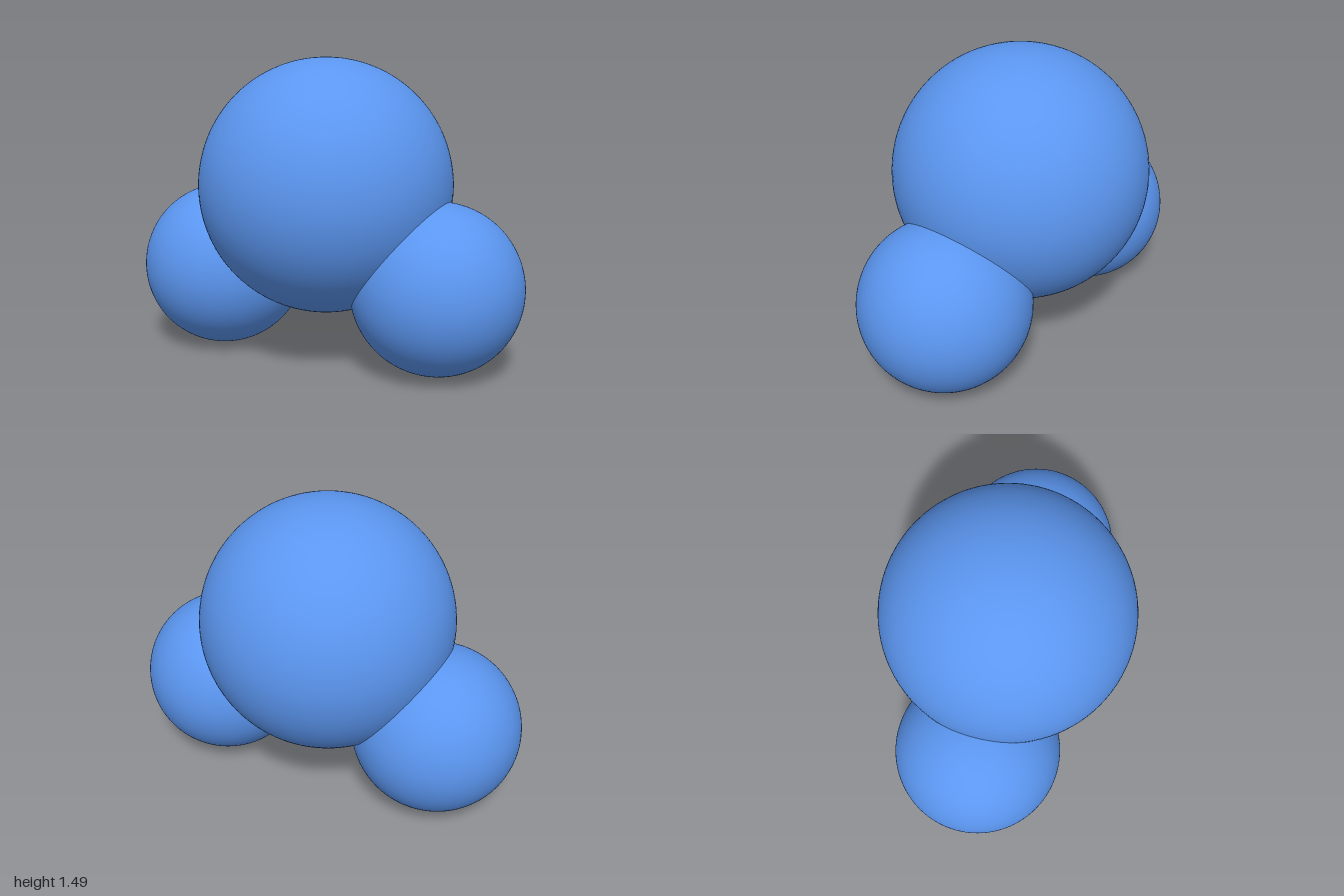
import * as THREE from 'three';

export function createModel() {
  const model = new THREE.Group();
  model.name = 'molecule';
  const material = new THREE.MeshStandardMaterial({ color: 0x5b96f0 });

  const addAtom = (name, radius, x, y) => {
    const atom = new THREE.Mesh(new THREE.SphereGeometry(radius, 96, 64), material);
    atom.name = name;
    atom.position.set(x, y, 0);
    model.add(atom);
  };

  // Large central atom
  addAtom('centralAtom', 0.623, 0, 0.87);

  // Two smaller atoms, sunk into the central one on either side
  for (const side of [1, -1]) {
    addAtom(side > 0 ? 'leftAtom' : 'rightAtom', 0.415, side * 0.585, 0.415);
  }

  return model;
}
